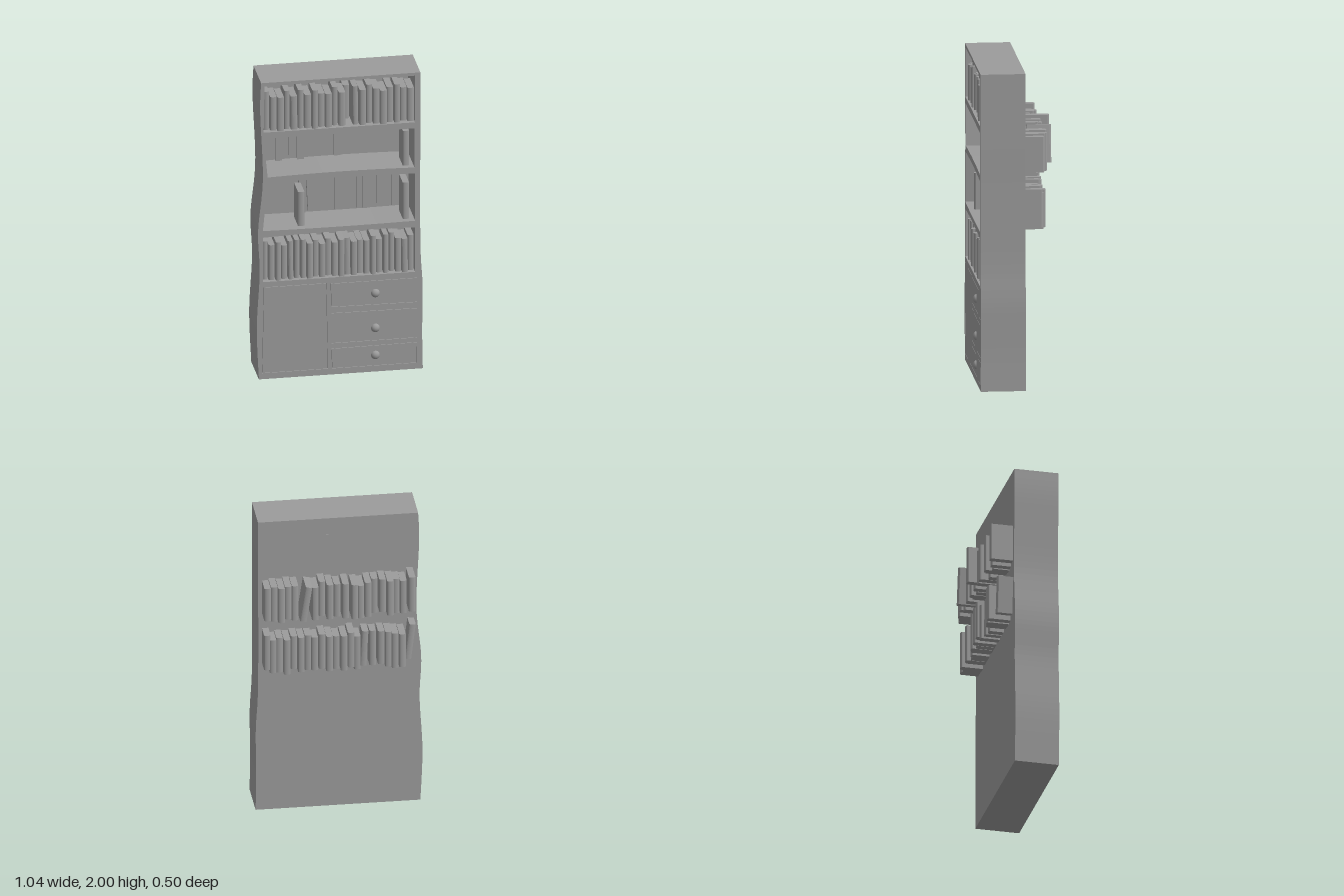
import * as THREE from 'three';

const BACK = -0.05, FRONT = 0.23, PANEL = 0.02;
const GREY = 0x9b9b9b;
const material = new THREE.MeshStandardMaterial({ color: GREY, flatShading: true });
const smooth = new THREE.MeshStandardMaterial({ color: GREY });
const v2 = (p) => new THREE.Vector2(p[0], p[1]);

function add(parent, name, geometry, mat = material) {
  const mesh = new THREE.Mesh(geometry, mat);
  mesh.name = name;
  parent.add(mesh);
  return mesh;
}

// Wavy outline of the case
function caseOutline() {
  const right = [[0.52, 0], [0.516, 0.25], [0.519, 0.55], [0.506, 0.8], [0.503, 1.2], [0.505, 1.6], [0.505, 2]];
  const left = [[-0.496, 2], [-0.502, 1.8], [-0.485, 1.35], [-0.515, 1.0], [-0.505, 0.72], [-0.523, 0.35], [-0.51, 0]];
  const shape = new THREE.Shape();
  shape.moveTo(...right[0]);
  shape.splineThru(right.slice(1).map(v2));
  shape.lineTo(...left[0]);
  shape.splineThru(left.slice(1).map(v2));
  shape.closePath();
  return shape;
}

// Four-cornered hole (bottom left, bottom right, top right, top left) with bowed floor and ceiling
function opening([a, b, c, d], bowFloor = 0, bowTop = 0) {
  const path = new THREE.Path();
  path.moveTo(...a);
  path.quadraticCurveTo((a[0] + b[0]) / 2, (a[1] + b[1]) / 2 + 2 * bowFloor, ...b);
  path.lineTo(...c);
  path.quadraticCurveTo((c[0] + d[0]) / 2, (c[1] + d[1]) / 2 + 2 * bowTop, ...d);
  path.closePath();
  return path;
}

// Book standing on end: a flat block with a rounded spine towards dir (+1 front, -1 back)
function addBook(parent, { x, y, h, t, spine, dir, depth = 0.15, tilt = 0 }) {
  const r = t / 2, bulge = 0.01;
  const s = new THREE.Shape();
  s.moveTo(-r, -depth);
  s.lineTo(r, -depth);
  s.lineTo(r, -bulge);
  s.absellipse(0, -bulge, r, bulge, 0, Math.PI, false);
  s.closePath();
  const g = new THREE.ExtrudeGeometry(s, { depth: h, bevelEnabled: false, curveSegments: 5 });
  g.rotateX(-Math.PI / 2);          // shape y becomes -z, extrusion becomes +y
  if (dir > 0) g.rotateY(Math.PI);  // spine to the front
  const book = add(parent, 'book', g);
  book.position.set(x, y, spine);
  book.rotation.z = tilt;
}

export function createModel() {
  const model = new THREE.Group();
  model.name = 'bookcase';

  const bays = [
    opening([[-0.48, 1.665], [0.472, 1.665], [0.472, 1.98], [-0.475, 1.975]], 0, 0.004),
    opening([[-0.455, 1.36], [0.468, 1.36], [0.468, 1.625], [-0.48, 1.625]], 0.008, 0),
    opening([[-0.485, 1.0], [0.472, 1.0], [0.472, 1.32], [-0.455, 1.32]], -0.004, 0.008),
    opening([[-0.485, 0.655], [0.472, 0.655], [0.472, 0.955], [-0.485, 0.955]], 0, 0.01),
  ];
  const fronts = [
    { name: 'door', corners: [[-0.49, 0.04], [-0.075, 0.04], [-0.085, 0.62], [-0.48, 0.62]] },
    { name: 'drawerTop', corners: [[-0.055, 0.455], [0.485, 0.45], [0.485, 0.615], [-0.06, 0.615]], knobY: 0.53 },
    { name: 'drawerMiddle', corners: [[-0.055, 0.21], [0.485, 0.21], [0.485, 0.41], [-0.055, 0.415]], knobY: 0.295 },
    { name: 'drawerBottom', corners: [[-0.05, 0.04], [0.482, 0.04], [0.485, 0.18], [-0.055, 0.175]], knobY: 0.112 },
  ];

  // Case: pierced frame with shelves, closed by a thin back panel
  const frame = caseOutline();
  frame.holes.push(...bays, ...fronts.map((f) => opening(f.corners)));
  const opts = { bevelEnabled: false, curveSegments: 8 };
  add(model, 'frame', new THREE.ExtrudeGeometry(frame, { ...opts, depth: FRONT - BACK - PANEL }))
    .position.z = BACK + PANEL;
  add(model, 'backPanel', new THREE.ExtrudeGeometry(caseOutline(), { ...opts, depth: PANEL })).position.z = BACK;

  // Door and drawer fronts, sitting flush in the frame with a hairline gap, plus knobs
  for (const { name, corners, knobY } of fronts) {
    const gap = 0.0025;
    const inset = corners.map(([x, y], i) => v2([
      x + (i === 0 || i === 3 ? gap : -gap), y + (i < 2 ? gap : -gap)]));
    add(model, name, new THREE.ExtrudeGeometry(new THREE.Shape(inset), { ...opts, depth: 0.2 }))
      .position.z = FRONT - 0.2;
    if (knobY) {
      const knob = add(model, 'knob', new THREE.SphereGeometry(0.029, 12, 8), smooth);
      knob.scale.z = 0.85;
      knob.position.set(0.222, knobY, 0.226);
    }
  }

  // Packed rows: spines face the front, thin recess from the frame
  const packedRows = [
    { name: 'topRowBooks', y: 1.665, base: 0.225, from: -0.478, to: 0.47, deep: 12,
      extra: [3, 0, 0, 3, 0, 3, 0, 3, 0, 0, 3, 0, 0, 3, 1, 3, 1, 0, 1, 3, 0, 0] },
    { name: 'lowerRowBooks', y: 0.655, base: 0.225, from: -0.484, to: 0.47, deep: -1,
      extra: [3, 1, 3, 0, 3, 3, 3, 1, 2, 0, 2, 0, 2, 2, 0, 0, 0, 3, 0, 3, 3, 0, 0, 1] },
  ];
  for (const row of packedRows) {
    const group = new THREE.Group();
    group.name = row.name;
    model.add(group);
    const n = row.extra.length, pitch = (row.to - row.from) / n;
    row.extra.forEach((e, i) => addBook(group, {
      x: row.from + (i + 0.5) * pitch, y: row.y, h: row.base + e * 0.011,
      t: pitch - (e > 2 ? 0.008 : 0.002), dir: 1,
      spine: i === row.deep ? 0.1 : 0.192 + ((i * 7) % 5) * 0.008 + (i === 5 ? 0.01 : 0),
      depth: i === row.deep ? 0.152 : 0.15,
      tilt: i % 9 === 4 ? 0.015 : 0,
    }));
  }

  // Pushed-back rows: spines stick out behind the case; [x, spine z, tilt]
  const pushedRows = [
    { name: 'upperPushedBooks', y: 1.37, h: 0.238, books: [
      [-0.44, 0.195], [-0.388, 0.175], [-0.345, 0.155], [-0.305, 0.195], [-0.258, 0.175],
      [-0.21, 0.145], [-0.165, 0.195], [-0.12, 0.195], [-0.075, 0.25], [-0.025, 0.195],
      [0.025, 0.165], [0.073, 0.195], [0.12, 0.165], [0.165, 0.195], [0.245, 0.235, 0.15],
      [0.29, 0.18], [0.335, 0.195], [0.375, 0.195], [0.42, 0.18], [0.46, 0.17]] },
    { name: 'middlePushedBooks', y: 1.006, h: 0.24, books: [
      [-0.42, 0.15, 0.12], [-0.38, 0.195], [-0.335, 0.19], [-0.295, 0.175], [-0.25, 0.17],
      [-0.2, 0.145], [-0.14, 0.155, 0.05], [-0.1, 0.175], [-0.06, 0.19], [-0.015, 0.195],
      [0.03, 0.165], [0.075, 0.19], [0.12, 0.175], [0.165, 0.165], [0.205, 0.155],
      [0.25, 0.18], [0.295, 0.165], [0.34, 0.19], [0.385, 0.165], [0.425, 0.17], [0.46, 0.16]] },
  ];
  for (const row of pushedRows) {
    const group = new THREE.Group();
    group.name = row.name;
    model.add(group);
    row.books.forEach(([x, z, tilt = 0], i) => addBook(group, {
      x, y: row.y + (i % 4 === 0 ? 0.018 : 0) - (i % 5 === 2 ? 0.006 : 0) + tilt * 0.1,
      h: row.h - (i % 3 === 1 ? 0.012 : 0), t: 0.041, spine: -z, dir: -1, tilt,
    }));
  }

  // Few books left standing at the front of the pushed-back bays
  const loose = new THREE.Group();
  loose.name = 'looseBooks';
  model.add(loose);
  for (const [x, y, h] of [[-0.238, 1.003, 0.23], [0.42, 1.003, 0.245], [0.42, 1.363, 0.235]]) {
    addBook(loose, { x, y, h, t: 0.04, spine: 0.2, dir: 1 });
  }
  return model;
}
